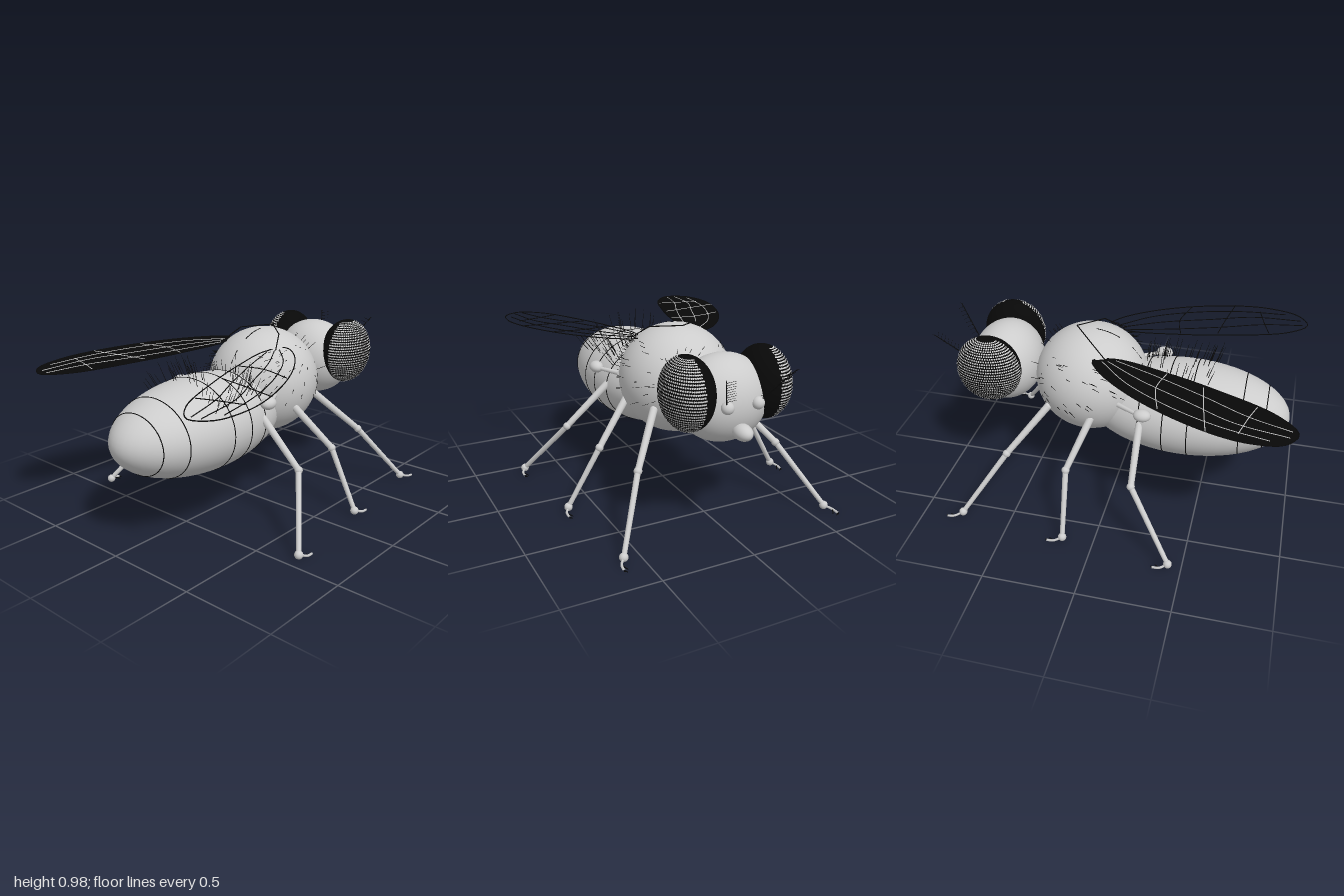
import * as THREE from 'three';
import { mergeGeometries } from 'three/addons/utils/BufferGeometryUtils.js';

const V = (x, y, z) => new THREE.Vector3(x, y, z);
const UP = V(0, 1, 0);
const mat = (name, color) => {
  const m = new THREE.MeshStandardMaterial({ color });
  m.name = name;
  return m;
};

// Seeded random numbers for the bristles
let seed = 7;
const rnd = () => (seed = (seed * 16807) % 2147483647) / 2147483647;
const range = (a, b) => a + (b - a) * rnd();

// Tapered rod from a to b
function rod(a, b, ra, rb, sides = 12) {
  const d = b.clone().sub(a);
  const g = new THREE.CylinderGeometry(rb, ra, d.length(), sides);
  g.applyQuaternion(new THREE.Quaternion().setFromUnitVectors(UP, d.normalize()));
  return g.translate((a.x + b.x) / 2, (a.y + b.y) / 2, (a.z + b.z) / 2);
}
const ball = (c, r, sides = 20) => new THREE.SphereGeometry(r, sides, sides * 0.7).translate(c.x, c.y, c.z);
const wire = (pts, r, closed = false, n = 24) =>
  new THREE.TubeGeometry(new THREE.CatmullRomCurve3(pts, closed), n, r, 5, closed);
const wingHeight = (z) => 0.895 - 0.046 * z;

export function createModel() {
  seed = 7;
  const root = new THREE.Group();
  const body = mat('bodyGrey', 0xcccccc);
  const black = mat('black', 0x080808);
  black.side = THREE.DoubleSide;

  const add = (name, geo, material) => {
    const m = new THREE.Mesh(Array.isArray(geo) ? mergeGeometries(geo) : geo, material);
    m.name = name;
    root.add(m);
    return m;
  };
  const ellipsoid = (name, e, material) => {
    const g = new THREE.SphereGeometry(1, 48, 32).scale(...e.r.toArray());
    return add(name, g.translate(...e.c.toArray()), material);
  };

  // Main body masses
  const thorax = { c: V(0, 0.675, -0.158), r: V(0.31, 0.3, 0.317) };
  const abdomen = { c: V(0, 0.55, 0.38), r: V(0.305, 0.254, 0.575) };
  const head = { c: V(0, 0.713, -0.655), r: V(0.245, 0.225, 0.2) };
  ellipsoid('thorax', thorax, body);
  ellipsoid('abdomen', abdomen, body);
  ellipsoid('head', head, body);
  ellipsoid('proboscis', { c: V(0, 0.595, -0.855), r: V(0.045, 0.042, 0.065) }, body);

  // Abdomen segment rings
  const rings = [0.16, 0.295, 0.43, 0.7, 0.825].map((z) => {
    const k = Math.sqrt(1 - ((z - abdomen.c.z) / abdomen.r.z) ** 2);
    const pts = [];
    for (let i = 0; i < 32; i++) {
      const a = (i / 32) * Math.PI * 2;
      pts.push(V(Math.cos(a) * abdomen.r.x * k, abdomen.c.y + Math.sin(a) * abdomen.r.y * k, z));
    }
    return wire(pts, 0.0028, true, 64);
  });
  add('abdomenRings', rings, black);

  // Thorax seams
  const onThorax = (x, z) =>
    V(x, thorax.c.y + thorax.r.y * Math.sqrt(1 - (x / thorax.r.x) ** 2 - ((z - thorax.c.z) / thorax.r.z) ** 2), z);
  add('thoraxSeams', [
    wire([onThorax(0, -0.13), onThorax(0, -0.06), onThorax(0, 0)], 0.003),
    wire([onThorax(0, 0.07), onThorax(0, 0.12)], 0.003),
    ...[-1, 1].flatMap((s) => [
      rod(V(0, 0.98, -0.24), V(s * 0.14, 0.963, -0.12), 0.003, 0.003, 6),
      rod(V(s * 0.14, 0.963, -0.12), V(s * 0.19, 0.897, -0.03), 0.003, 0.003, 6),
    ]),
  ], black);

  for (const s of [1, -1]) {
    // Compound eyes: black ellipsoid with rows of small pale facets on the outer side
    const side = s > 0 ? 'left' : 'right';
    const eye = { c: V(s * 0.215, 0.773, -0.686), r: V(0.13, 0.19, 0.18) };
    ellipsoid(side + 'Eye', eye, black);
    const facets = [];
    const rows = 38;
    for (let i = 1; i < rows; i++) {
      const lat = (i / rows - 0.5) * Math.PI;
      if (Math.abs(Math.sin(lat)) > 0.965) continue;
      const n = Math.round(42 * Math.cos(lat)) + 2;
      for (let j = 0; j < n; j++) {
        const a = ((j + (i % 2) / 2) / n - 0.5) * (Math.PI + 0.1);
        const u = V(s * Math.cos(lat) * Math.cos(a), Math.sin(lat), Math.cos(lat) * Math.sin(a));
        const normal = u.clone().divide(eye.r).normalize();
        const p = u.multiply(eye.r).add(eye.c).addScaledVector(normal, 0.002);
        const g = new THREE.CircleGeometry(0.0053, 6);
        g.applyQuaternion(new THREE.Quaternion().setFromUnitVectors(V(0, 0, 1), normal));
        facets.push(g.translate(p.x, p.y, p.z));
      }
    }
    add(side + 'EyeFacets', facets, body);

    // Antenna with feathered bristle
    add(side + 'Antenna', ball(V(s * 0.085, 0.73, -0.85), 0.032), body);
    const a0 = V(s * 0.1, 0.755, -0.865), a1 = V(s * 0.19, 0.925, -1);
    const plume = [rod(a0, a1, 0.003, 0.0015, 5)];
    for (let i = 1; i < 10; i++) {
      const p = a0.clone().lerp(a1, i / 10);
      plume.push(rod(p, p.clone().add(V(-s * 0.045, 0.008, -0.012)), 0.0013, 0.0008, 4));
      plume.push(rod(p, p.clone().add(V(s * 0.012, 0.02, -0.025)), 0.0013, 0.0008, 4));
    }
    add(side + 'AntennaPlume', plume, black);

    // Haltere
    const knob = new THREE.SphereGeometry(1, 20, 14).scale(0.038, 0.033, 0.048).translate(s * 0.325, 0.677, 0.195);
    add(side + 'Haltere', [rod(V(s * 0.25, 0.67, 0.05), V(s * 0.32, 0.675, 0.17), 0.014, 0.01), knob], body);

    // Legs: hip, knee, foot and toe points
    const legs = {
      FrontLeg: [[0.23, 0.58, -0.355], [0.413, 0.35, -0.55], [0.595, 0.028, -0.772], [0.63, 0.01, -0.855]],
      MiddleLeg: [[0.275, 0.57, -0.1], [0.473, 0.35, -0.19], [0.655, 0.028, -0.168], [0.68, 0.01, -0.25]],
      HindLeg: [[0.265, 0.58, 0.17], [0.522, 0.35, 0.183], [0.716, 0.028, 0.428], [0.74, 0.01, 0.35]],
    };
    for (const [name, pts] of Object.entries(legs)) {
      const [hip, knee, foot, toe] = pts.map(([x, y, z]) => V(s * x, y, z));
      const mid = foot.clone().lerp(toe, 0.5).add(V(s * 0.012, -0.004, 0));
      add(side + name, [
        ball(hip, 0.021), rod(hip, knee, 0.021, 0.017),
        ball(knee, 0.022), rod(knee, foot, 0.016, 0.013),
        ball(foot, 0.023), wire([foot, mid, toe], 0.007, false, 10),
      ], body);
      add(side + name + 'Claws', [
        rod(mid, toe.clone().add(V(-s * 0.025, -0.005, 0.01)), 0.004, 0.002, 6),
        rod(toe, toe.clone().add(V(-s * 0.015, -0.006, -0.008)), 0.006, 0.002, 6),
      ], black);
    }

    // Wing outline in x and z, laid on a gently sloping plane
    const wingPoint = ([x, z]) => V(s * x, wingHeight(z), z);
    const outline = [[0.2, -0.1], [0.155, 0.02], [0.2, 0.28], [0.28, 0.56], [0.41, 0.88], [0.53, 0.99],
      [0.63, 0.93], [0.665, 0.77], [0.645, 0.6], [0.55, 0.33], [0.42, 0.1], [0.28, -0.06]].map(wingPoint);
    add(side + 'WingEdge', wire(outline, 0.003, true, 80), black);
    if (s < 0) {
      const edge = new THREE.CatmullRomCurve3(outline, true).getPoints(80);
      const blade = new THREE.ShapeGeometry(new THREE.Shape(edge.map((p) => new THREE.Vector2(p.x, p.z))));
      const pos = blade.attributes.position;
      for (let i = 0; i < pos.count; i++) {
        const z = pos.getY(i);
        pos.setXYZ(i, pos.getX(i), wingHeight(z), z);
      }
      blade.computeVertexNormals();
      add(side + 'WingBlade', blade, black);
    }
    // Veins: pale on the dark blade, black on the clear wing
    const veins = [
      [[0.2, -0.05], [0.36, 0.12], [0.5, 0.38], [0.58, 0.62], [0.62, 0.86]],
      [[0.19, -0.02], [0.31, 0.18], [0.43, 0.45], [0.53, 0.68], [0.57, 0.95]],
      [[0.17, 0.02], [0.25, 0.25], [0.36, 0.52], [0.46, 0.74], [0.52, 0.96]],
      [[0.21, 0.3], [0.35, 0.27], [0.53, 0.31]],
      [[0.28, 0.5], [0.42, 0.52], [0.64, 0.56]],
      [[0.37, 0.78], [0.46, 0.75], [0.61, 0.71]],
    ];
    add(side + 'WingVeins', veins.map((v) => wire(v.map(wingPoint), 0.0026)), s > 0 ? black : body);
  }

  // Bristles scattered over an ellipsoid, swept backward by the given lean
  const bristles = (name, e, count, accept, lean, length) => {
    const hairs = [];
    while (hairs.length < count) {
      const u = V(range(-1, 1), range(-1, 1), range(-1, 1)).normalize();
      const p = u.clone().multiply(e.r).add(e.c);
      if (!accept(p)) continue;
      const dir = u.divide(e.r).normalize().add(lean).normalize();
      hairs.push(rod(p, p.clone().addScaledVector(dir, length * range(0.6, 1.2)), 0.002, 0.0008, 4));
    }
    add(name, hairs, black);
  };
  bristles('thoraxBristles', thorax, 90,
    (p) => Math.abs(p.x) > 0.14 && p.y > 0.6 && p.y < 0.9 && p.z > -0.4 && p.z < 0.1, V(0, -0.4, 1.6), 0.045);
  bristles('abdomenBristles', abdomen, 75,
    (p) => p.y > 0.68 && p.z > 0.13 && p.z < 0.52, V(0, 0.4, 0.3), 0.1);
  bristles('neckBristles', thorax, 14, (p) => p.y > 0.72 && p.z < -0.36, V(0, 0.2, -0.2), 0.05);

  return root;
}
